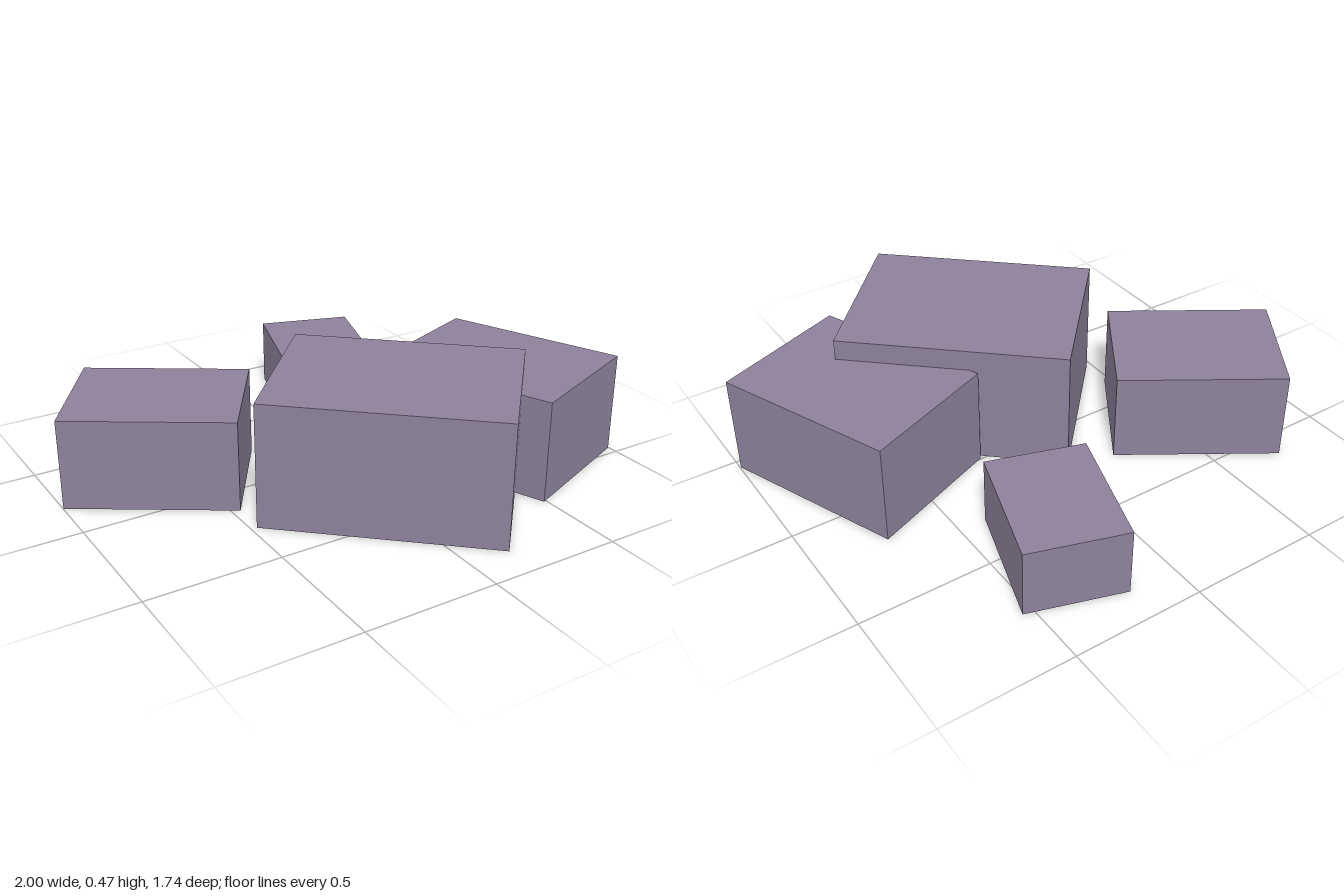
import * as THREE from 'three';

export function createModel() {
  const model = new THREE.Group();
  model.name = 'blockCluster';

  const mauveStone = new THREE.MeshStandardMaterial({ color: 0x8d829b });
  mauveStone.name = 'mauveStone';

  // Block standing on the ground, centred at (x, z) and turned about the vertical
  function addBlock(name, x, z, width, height, depth, turn) {
    const block = new THREE.Mesh(new THREE.BoxGeometry(width, height, depth), mauveStone);
    block.name = name;
    block.position.set(x, height / 2, z);
    block.rotation.y = turn;
    model.add(block);
  }

  // Two overlapping blocks at the front
  addBlock('largeBlock', 0.065, 0.33, 0.865, 0.468, 0.663, -0.737);
  addBlock('leftBlock', 0.61, 0.232, 0.547, 0.388, 0.712, 0.384);

  // Two separate blocks further back
  addBlock('rightBlock', -0.602, -0.228, 0.631, 0.343, 0.486, -0.575);
  addBlock('smallBackBlock', 0.291, -0.585, 0.37, 0.26, 0.482, -0.308);

  return model;
}
